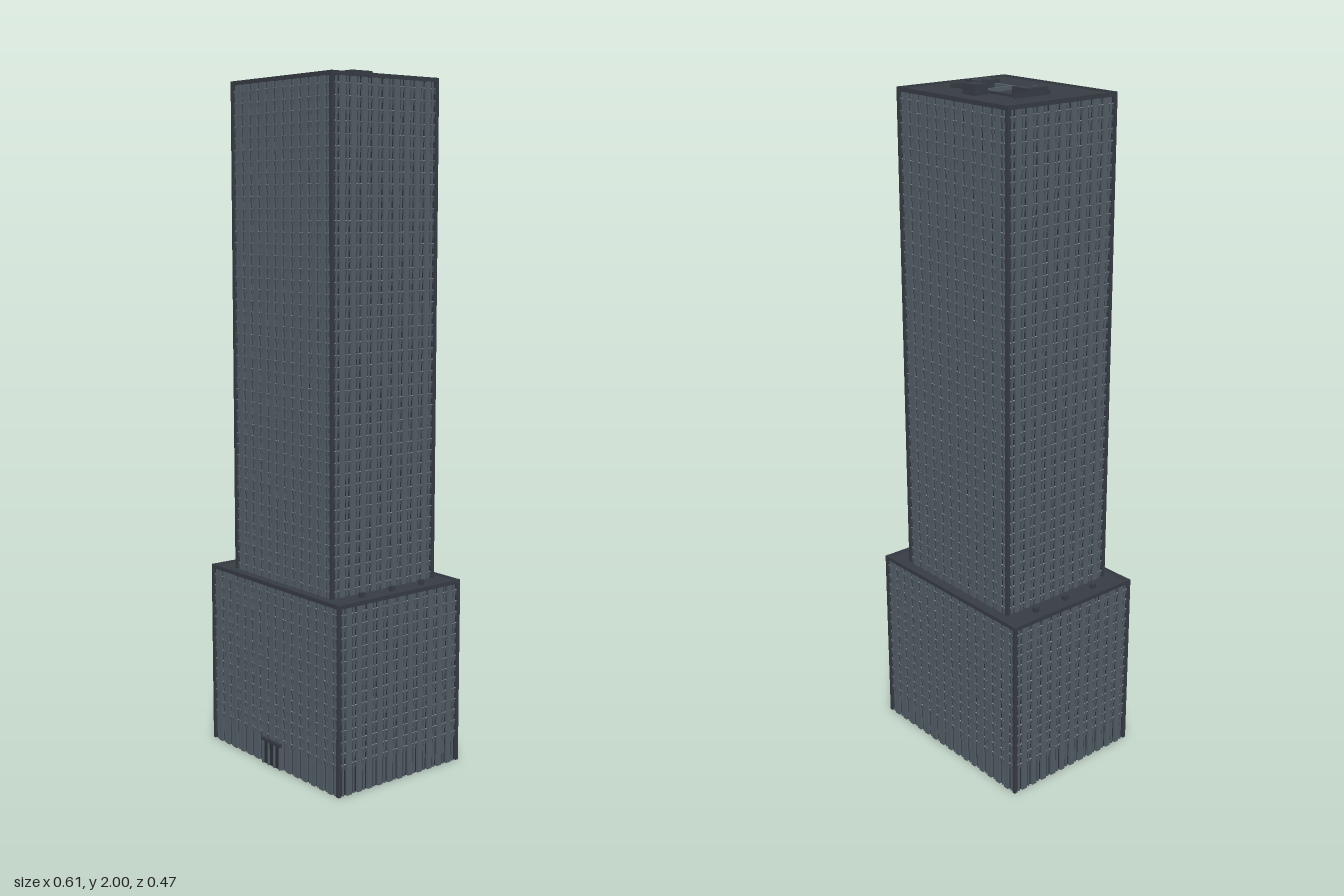
import * as THREE from 'three';
import { mergeGeometries } from 'three/addons/utils/BufferGeometryUtils.js';

const mat = (name, color) => new THREE.MeshStandardMaterial({ name, color });

export function createModel() {
  const slate = mat('slate cladding', 0x535e67);
  const spandrelMat = mat('spandrel grey', 0x434d55);
  const glass = mat('dark glass', 0x2b3138);
  const roofMat = mat('roof charcoal', 0x373c44);
  const trim = mat('window trim', 0x858b8e);
  const model = new THREE.Group();
  model.name = 'skyscraper';
  const CZ = -0.0045; // the blocks sit slightly back to leave room for the entrance

  // box from its ranges on each axis
  const box = (x0, x1, y0, y1, z0, z1) =>
    new THREE.BoxGeometry(x1 - x0, y1 - y0, z1 - z0)
      .translate((x0 + x1) / 2, (y0 + y1) / 2, (z0 + z1) / 2);
  const add = (parent, name, geos, material) => {
    const mesh = new THREE.Mesh(mergeGeometries([].concat(geos)), material);
    mesh.name = name;
    parent.add(mesh);
  };
  // four strips around a rectangle
  const ring = (hx, hz, t, y0, y1) => [
    box(-hx, hx, y0, y1, hz - t, hz), box(-hx, hx, y0, y1, -hz, -hz + t),
    box(-hx, -hx + t, y0, y1, -hz + t, hz - t), box(hx - t, hx, y0, y1, -hz + t, hz - t),
  ];

  // one block of the tower: glass core, floor bands, piers and parapet
  function block(name, hx, hz, y0, y1, firstFloor, floors, nx, nz) {
    const g = new THREE.Group();
    g.name = name;
    g.position.z = CZ;
    model.add(g);
    const cx = hx - 0.006, cz = hz - 0.006;
    add(g, 'glassWalls', box(-cx, cx, y0 + 0.002, y1 - 0.008, -cz, cz), glass);
    add(g, 'roofDeck', box(-hx + 0.009, hx - 0.009, y1 - 0.01, y1 - 0.004, -hz + 0.009, hz - 0.009), roofMat);
    add(g, 'parapet', ring(hx, hz, 0.005, y1 - 0.012, y1), roofMat);
    add(g, 'roofCurb', ring(hx - 0.005, hz - 0.005, 0.006, y1 - 0.008, y1 - 0.002), roofMat);
    add(g, 'floorSlab', box(-cx, cx, y0, y0 + 0.004, -cz, cz), roofMat);

    // spandrel bands with a thin sill line on each floor
    const bands = [], sills = [], pitch = (y1 - 0.012 - firstFloor) / floors;
    for (let i = 0; i < floors; i++) {
      const y = firstFloor + i * pitch;
      bands.push(...ring(hx - 0.003, hz - 0.003, 0.004, y, y + pitch * 0.42));
      sills.push(...ring(hx - 0.0025, hz - 0.0025, 0.004, y + pitch * 0.42, y + pitch * 0.48));
    }
    add(g, 'spandrels', bands, spandrelMat);
    add(g, 'windowSills', sills, trim);

    // wide piers on the bay lines, slim mullions between them
    const piers = [], mullions = [];
    const top = y1 - 0.012;
    const face = (h, d, n, place) => {
      const bay = 2 * h / n;
      for (let i = 0; i < n; i++) {
        const a = -h + i * bay;
        if (i > 0) place(piers, a, 0.0085, d + 0.0015);
        place(mullions, a + bay / 2, 0.0025, d - 0.0015);
      }
    };
    face(hx, hz, nx, (list, p, w, d) => {
      for (const s of [-1, 1]) {
        const inner = s * (hz - 0.008), outer = s * d;
        list.push(box(p - w, p + w, y0, top, Math.min(inner, outer), Math.max(inner, outer)));
      }
    });
    face(hz, hx, nz, (list, p, w, d) => {
      for (const s of [-1, 1]) {
        const inner = s * (hx - 0.008), outer = s * d;
        list.push(box(Math.min(inner, outer), Math.max(inner, outer), y0, top, p - w, p + w));
      }
    });
    add(g, 'piers', piers, slate);
    add(g, 'mullions', mullions, slate);

    // corner columns
    const corners = [];
    for (const sx of [-1, 1]) for (const sz of [-1, 1])
      corners.push(new THREE.BoxGeometry(0.01, y1 - y0, 0.01)
        .translate(sx * (hx - 0.004), (y0 + y1) / 2, sz * (hz - 0.004)));
    add(g, 'cornerColumns', corners, roofMat);
  }
  block('podium', 0.303, 0.2275, 0, 0.548, 0.075, 14, 16, 12);
  block('tower', 0.229, 0.192, 0.54, 1.975, 0.548, 43, 12, 10);

  // entrance canopy with posts and doors
  const entrance = new THREE.Group();
  entrance.name = 'entrance';
  model.add(entrance);
  add(entrance, 'canopy', box(-0.045, 0.045, 0.07, 0.08, 0.215, 0.233), roofMat);
  add(entrance, 'doors', box(-0.04, 0.04, 0, 0.07, 0.215, 0.2265), glass);
  add(entrance, 'doorPosts', [-0.04, -0.014, 0.014, 0.04].map(
    (x) => box(x - 0.003, x + 0.003, 0, 0.07, 0.22, 0.231)), slate);

  // vents on the podium roof
  const vents = [];
  for (const x of [-0.263, 0.263]) for (const z of [-0.117, -0.005, 0.107])
    vents.push(box(x - 0.006, x + 0.006, 0.54, 0.558, z - 0.008, z + 0.008));
  add(model, 'podiumVents', vents, roofMat);

  // plant on the tower roof
  const plant = new THREE.Group();
  plant.name = 'roofPlant';
  model.add(plant);
  const R = 1.97;
  add(plant, 'stairHouse', box(-0.025, 0.025, R, 2, -0.133, -0.088), roofMat);
  add(plant, 'ducts', [
    box(-0.067, 0.067, R, 1.982, 0.013, 0.022),
    box(-0.0035, 0.0035, R, 1.982, -0.081, 0.013),
  ], slate);
  const units = [], slots = [], screens = [];
  for (const s of [-1, 1]) {
    const x = s * 0.097;
    units.push(box(x - 0.03, x + 0.03, R, 1.992, -0.041, 0.033));
    for (const dx of [-0.005, 0.005]) for (const z of [-0.024, 0.016])
      slots.push(box(x + dx - 0.001, x + dx + 0.001, 1.99, 1.9925, z - 0.007, z + 0.007));
    screens.push(box(s * 0.131 - 0.001, s * 0.131 + 0.001, R, 1.984, -0.088, 0.037));
  }
  screens.push(box(-0.13, 0.13, R, 1.978, -0.074, -0.072));
  add(plant, 'coolingUnits', units, roofMat);
  add(plant, 'coolingSlots', slots, slate);
  add(plant, 'screens', screens, roofMat);
  return model;
}
